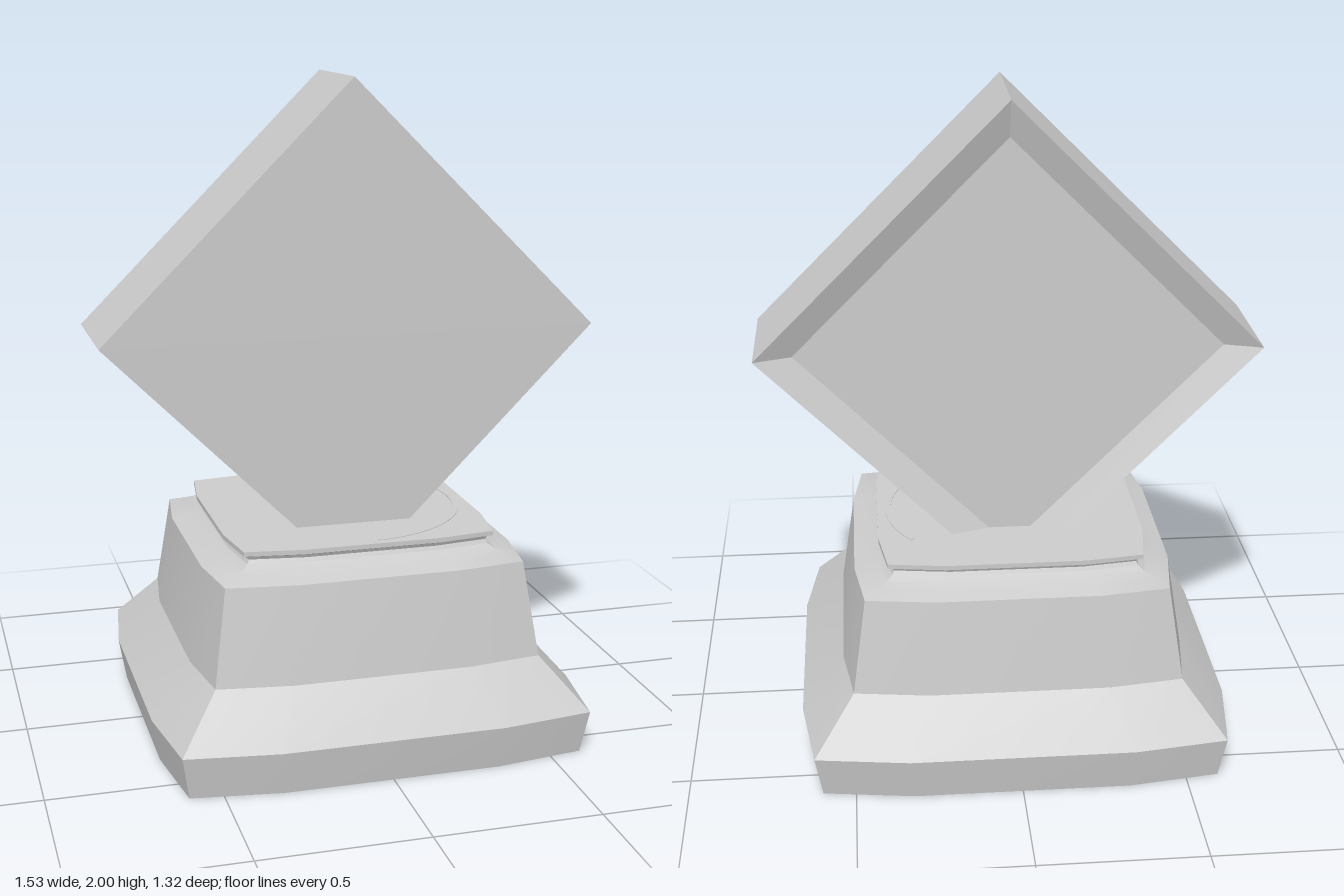
import * as THREE from 'three';
import { toCreasedNormals } from 'three/addons/utils/BufferGeometryUtils.js';

// Stacks scaled copies of a section [x, z]; each row is [scale, y], bottom to top.
function loft(section, rows, crease) {
  const pos = [];
  const n = section.length;
  const point = ([s, y], i) => [section[i % n][0] * s, y, section[i % n][1] * s];
  for (let j = 0; j < rows.length - 1; j++) {
    for (let i = 0; i < n; i++) {
      const a = point(rows[j], i), b = point(rows[j], i + 1);
      const c = point(rows[j + 1], i + 1), d = point(rows[j + 1], i);
      if (rows[j][0] > 0) pos.push(...a, ...b, ...(rows[j + 1][0] > 0 ? c : d));
      if (rows[j + 1][0] > 0) pos.push(...a, ...c, ...d);
    }
  }
  const geometry = new THREE.BufferGeometry();
  geometry.setAttribute('position', new THREE.Float32BufferAttribute(pos, 3));
  return toCreasedNormals(geometry, crease);
}

export function createModel() {
  const model = new THREE.Group();
  model.name = 'trophy';
  const material = new THREE.MeshStandardMaterial({ color: 0xcccccc });
  const add = (name, geometry) => {
    const mesh = new THREE.Mesh(geometry, material);
    mesh.name = name;
    model.add(mesh);
    return mesh;
  };

  // Square section with bowed sides, one side turned four times
  const bowed = [];
  let side = [[-0.51, 1], [0.51, 1], [0.94, 0.94]];
  for (let k = 0; k < 4; k++) {
    bowed.push(...side);
    side = side.map(([x, z]) => [z, -x]);
  }

  // Plinth: flared foot, tapered body, small cove and top lip
  add('plinth', loft(bowed, [
    [0, 0], [0.637, 0], [0.66, 0.132], [0.53, 0.28], [0.486, 0.57],
    [0.45, 0.583], [0.415, 0.596], [0.396, 0.608], [0.39, 0.62],
    [0.395, 0.63], [0.41, 0.636], [0.41, 0.65], [0, 0.65],
  ], 0.5));

  // Block standing on its corner, with a shallow bevelled recess in the back
  const diamond = [[0, 1], [1, 0], [0, -1], [-1, 0]];
  const block = add('block', loft(diamond, [
    [0, -0.16], [0.65, -0.16], [0.765, -0.2], [0.765, 0.2], [0, 0.2],
  ], 0.2).rotateX(Math.PI / 2));
  block.position.y = 1.235;

  // Thin crescent inlay on the plinth top
  const crescent = new THREE.Shape();
  crescent.absarc(0, 0, 0.385, -1.5, 0.64, false);
  crescent.absarc(-0.008, 0, 0.375, 0.62, -1.48, true);
  const inlay = add('inlay', new THREE.ExtrudeGeometry(crescent, {
    depth: 0.012, bevelEnabled: false, curveSegments: 20,
  }).rotateX(-Math.PI / 2));
  inlay.position.y = 0.64;

  return model;
}
